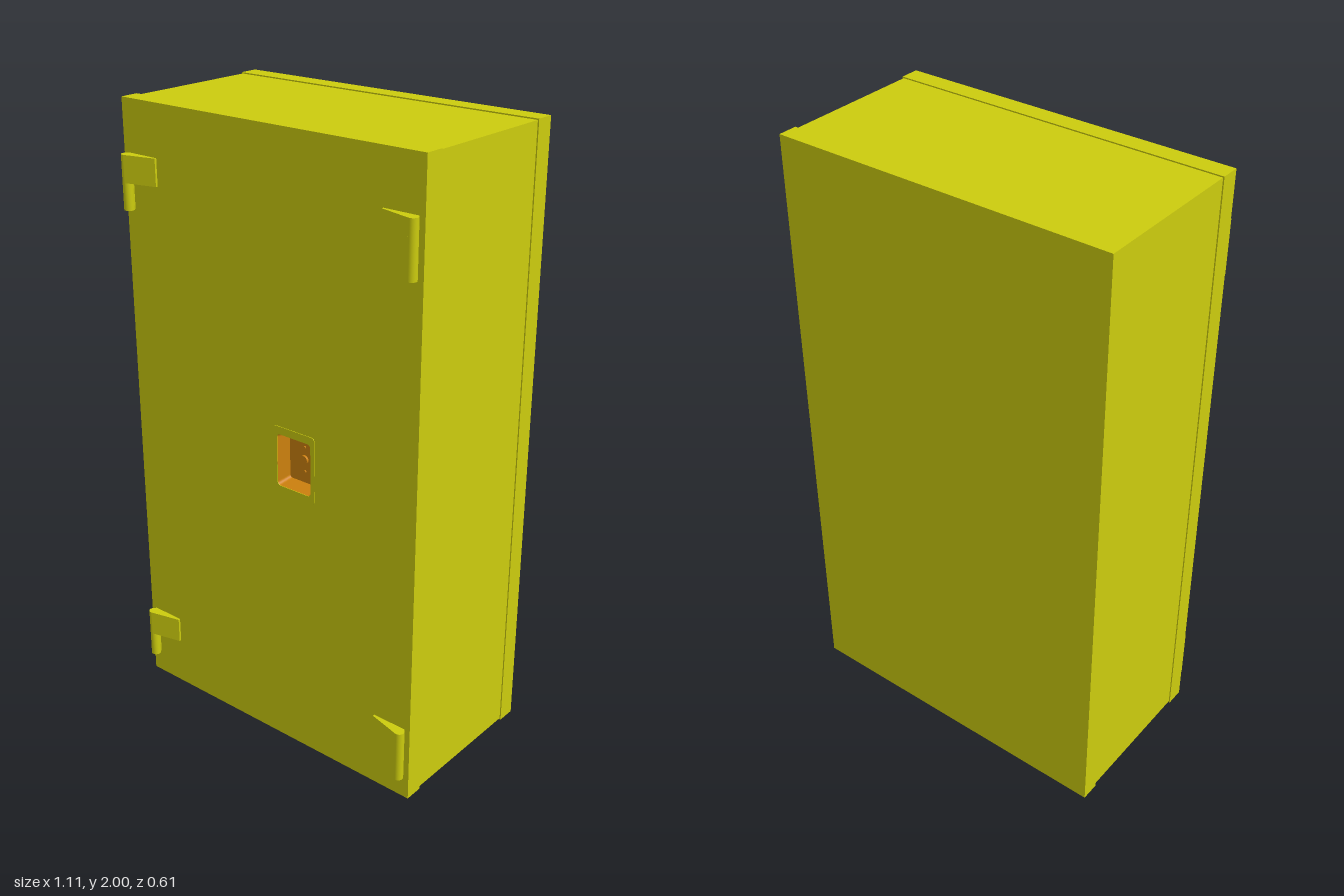
import * as THREE from 'three';

const yellow = new THREE.MeshStandardMaterial({ color: 0xcccc0e });
yellow.name = 'cabinet yellow';
const orange = new THREE.MeshStandardMaterial({ color: 0xcc800e, side: THREE.DoubleSide });
orange.name = 'latch orange';

const W = 1.11, H = 2, FRONT = 0.272, BACK = -0.308, LIP = 0.062, STEP = 0.004;
const LATCH = { x: 0.105, y: 1, w: 0.13, h: 0.17, depth: 0.05 };

function add(parent, name, geometry, material, x = 0, y = 0, z = 0) {
  const mesh = new THREE.Mesh(geometry, material);
  mesh.name = name;
  mesh.position.set(x, y, z);
  parent.add(mesh);
  return mesh;
}

// Rounded rectangle drawn on a shape or a hole path
function roundRect(path, cx, cy, w, h, r) {
  const x = w / 2 - r, y = h / 2 - r;
  path.absarc(cx + x, cy + y, r, 0, Math.PI / 2);
  path.absarc(cx - x, cy + y, r, Math.PI / 2, Math.PI);
  path.absarc(cx - x, cy - y, r, Math.PI, Math.PI * 1.5);
  path.absarc(cx + x, cy - y, r, Math.PI * 1.5, Math.PI * 2);
  path.closePath();
  return path;
}

function panel(shape, depth) {
  shape.holes.push(roundRect(new THREE.Path(), LATCH.x, LATCH.y, LATCH.w, LATCH.h, 0.012));
  return new THREE.ExtrudeGeometry(shape, { depth, bevelEnabled: false, curveSegments: 6 });
}

// Drafted walls between the opening and the smaller pocket floor
function pocketWalls(outer, inner, depth) {
  const a = outer.getPoints(6), b = inner.getPoints(6), pos = [];
  for (let i = 0; i < a.length; i++) {
    const j = (i + 1) % a.length;
    const p = [[a[i], 0], [b[i], -depth], [b[j], -depth], [a[j], 0]];
    for (const k of [0, 2, 1, 0, 3, 2]) pos.push(p[k][0].x, p[k][0].y, p[k][1]);
  }
  const g = new THREE.BufferGeometry();
  g.setAttribute('position', new THREE.Float32BufferAttribute(pos, 3));
  // Wind the walls so they face the middle of the pocket
  for (let i = 0; i < pos.length; i += 9) {
    for (let c = 0; c < 3; c++) {
      const t = pos[i + 3 + c];
      pos[i + 3 + c] = pos[i + 6 + c];
      pos[i + 6 + c] = t;
    }
  }
  g.setAttribute('position', new THREE.Float32BufferAttribute(pos, 3));
  g.computeVertexNormals();
  return g;
}

// Hinge: round barrel with a tapered leaf at its upper half
function hinge(side, top) {
  const group = new THREE.Group();
  group.name = 'hinge';
  const bx = 0.529, bz = 0.29, r = 0.016;
  add(group, 'hingeBarrel', new THREE.CylinderGeometry(r, r, 0.17, 24), yellow, side * bx, top - 0.085, bz);
  const outline = [[0.42, 0.27], [0.42, 0.279], [bx - 0.004, bz + 0.0155], [bx, bz - 0.01], [bx, 0.27]];
  const leaf = new THREE.Shape(outline.map(([x, z]) => new THREE.Vector2(side * x, -z)));
  const g = new THREE.ExtrudeGeometry(leaf, { depth: 0.085, bevelEnabled: false });
  g.rotateX(-Math.PI / 2);
  add(group, 'hingeLeaf', g, yellow, 0, top - 0.085, 0);
  // Narrow web joining the barrel to the door
  add(group, 'hingeWeb', new THREE.BoxGeometry(0.014, 0.17, 0.02), yellow, side * bx, top - 0.085, 0.278);
  return group;
}

export function createModel() {
  const model = new THREE.Group();
  model.name = 'cabinet';

  // Body between two slightly larger end slabs
  add(model, 'body', new THREE.BoxGeometry(W - 2 * STEP, H - 2 * STEP, FRONT - BACK - 2 * LIP),
    yellow, 0, H / 2, (FRONT + BACK) / 2);
  add(model, 'backPanel', new THREE.BoxGeometry(W, H, LIP), yellow, 0, H / 2, BACK + LIP / 2);
  const door = new THREE.Shape([[-W / 2, 0], [W / 2, 0], [W / 2, H], [-W / 2, H]].map(p => new THREE.Vector2(...p)));
  add(model, 'door', panel(door, LIP), yellow, 0, 0, FRONT - LIP);

  // Thin flange around the latch opening
  const flange = roundRect(new THREE.Shape(), LATCH.x, LATCH.y, 0.16, 0.22, 0.012);
  add(model, 'latchFlange', panel(flange, 0.002), yellow, 0, 0, FRONT);

  // Recessed latch pocket
  const latch = new THREE.Group();
  latch.name = 'latch';
  latch.position.set(LATCH.x, LATCH.y, FRONT);
  model.add(latch);
  const mouth = roundRect(new THREE.Shape(), 0, 0, LATCH.w, LATCH.h, 0.012);
  const base = roundRect(new THREE.Shape(), 0, 0, LATCH.w - 0.012, LATCH.h - 0.016, 0.01);
  add(latch, 'pocketWalls', pocketWalls(mouth, base, LATCH.depth), orange);
  add(latch, 'pocketFloor', new THREE.ShapeGeometry(base, 6), orange, 0, 0, -LATCH.depth);
  const lock = new THREE.CylinderGeometry(0.014, 0.014, 0.008, 24).rotateX(Math.PI / 2);
  add(latch, 'lockBarrel', lock, orange, 0, 0, -LATCH.depth + 0.004);
  const rivet = new THREE.CylinderGeometry(0.005, 0.005, 0.004, 12).rotateX(Math.PI / 2);
  for (const y of [-0.04, 0.04, 0.06]) add(latch, 'rivet', rivet, orange, 0, y, -LATCH.depth + 0.002);

  // Four hinges
  for (const side of [-1, 1]) for (const top of [0.25, 1.837]) model.add(hinge(side, top));

  return model;
}
